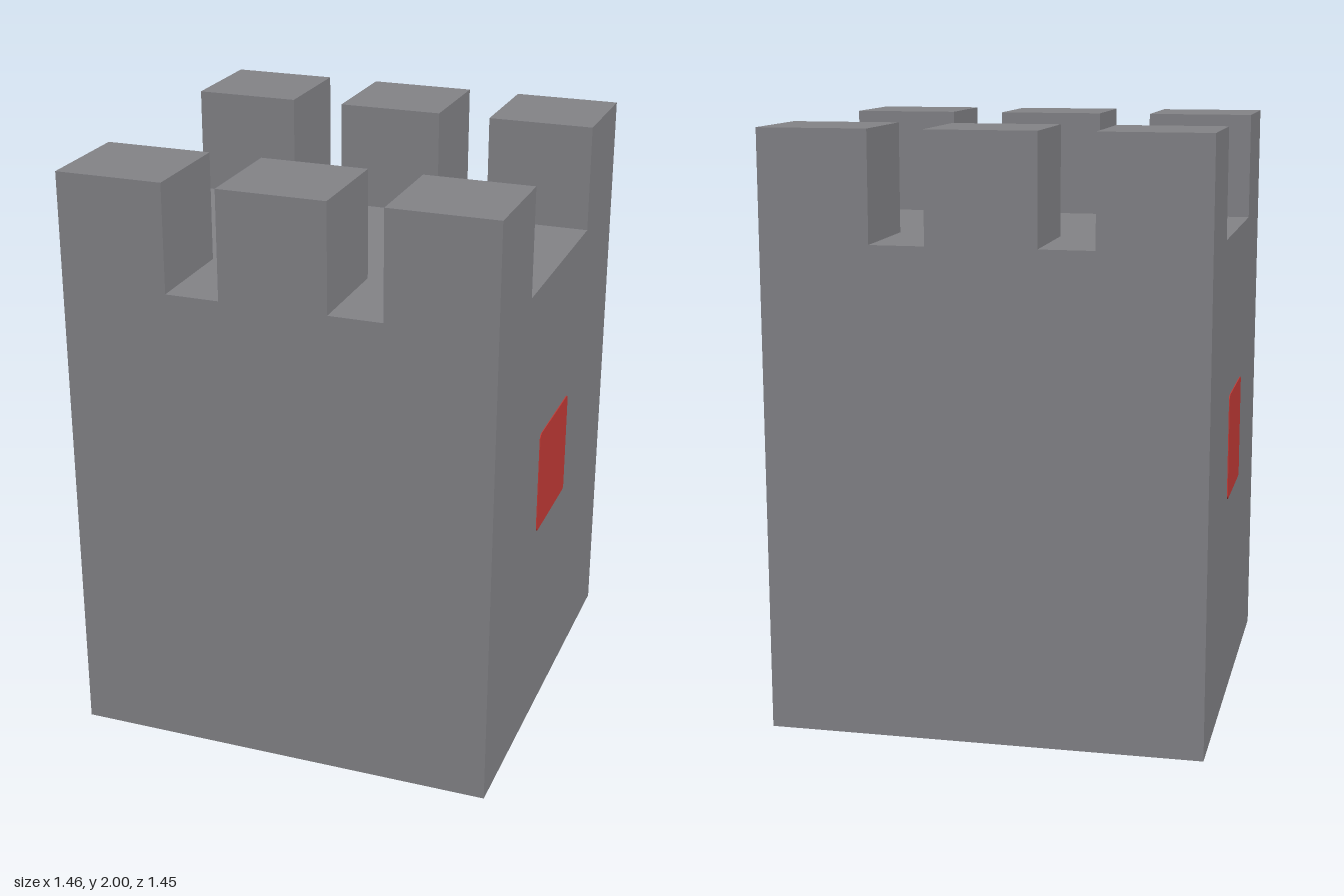
import * as THREE from 'three';

const U = 2 / 11; // one grid unit of the tower: 8 x 11 x 8

export function createModel() {
  const tower = new THREE.Group();
  tower.name = 'castleTower';

  const stone = new THREE.MeshStandardMaterial({ color: 0x838387 });
  stone.name = 'stone grey';
  const red = new THREE.MeshStandardMaterial({ color: 0xc43b36 });
  red.name = 'window red';

  const add = (name, geometry, material, x, y, z) => {
    const mesh = new THREE.Mesh(geometry, material);
    mesh.name = name;
    mesh.position.set(x, y, z);
    tower.add(mesh);
    return mesh;
  };

  // Solid tower body
  add('towerBody', new THREE.BoxGeometry(8 * U, 9 * U, 8 * U), stone, 0, 4.5 * U, 0);

  // Three merlons along the front and three along the back
  const merlon = new THREE.BoxGeometry(2 * U, 2 * U, 2 * U);
  for (const [side, z] of [['front', 3], ['back', -3]]) {
    for (const [place, x] of [['Left', 3], ['Middle', 0], ['Right', -3]]) {
      add(`${side}${place}Merlon`, merlon, stone, x * U, 10 * U, z * U);
    }
  }

  // Square window plate with slightly rounded corners on each side wall
  const h = U, r = 0.016;
  const outline = new THREE.Shape();
  outline.absarc(h - r, h - r, r, 0, Math.PI / 2);
  outline.absarc(r - h, h - r, r, Math.PI / 2, Math.PI);
  outline.absarc(r - h, r - h, r, Math.PI, Math.PI * 1.5);
  outline.absarc(h - r, r - h, r, Math.PI * 1.5, Math.PI * 2);
  const plate = new THREE.ExtrudeGeometry(outline, { depth: 0.003, bevelEnabled: false, curveSegments: 4 });
  for (const [name, s] of [['leftWindow', 1], ['rightWindow', -1]]) {
    add(name, plate, red, s * 4 * U, 5 * U, 0).rotation.y = s * Math.PI / 2;
  }

  return tower;
}
